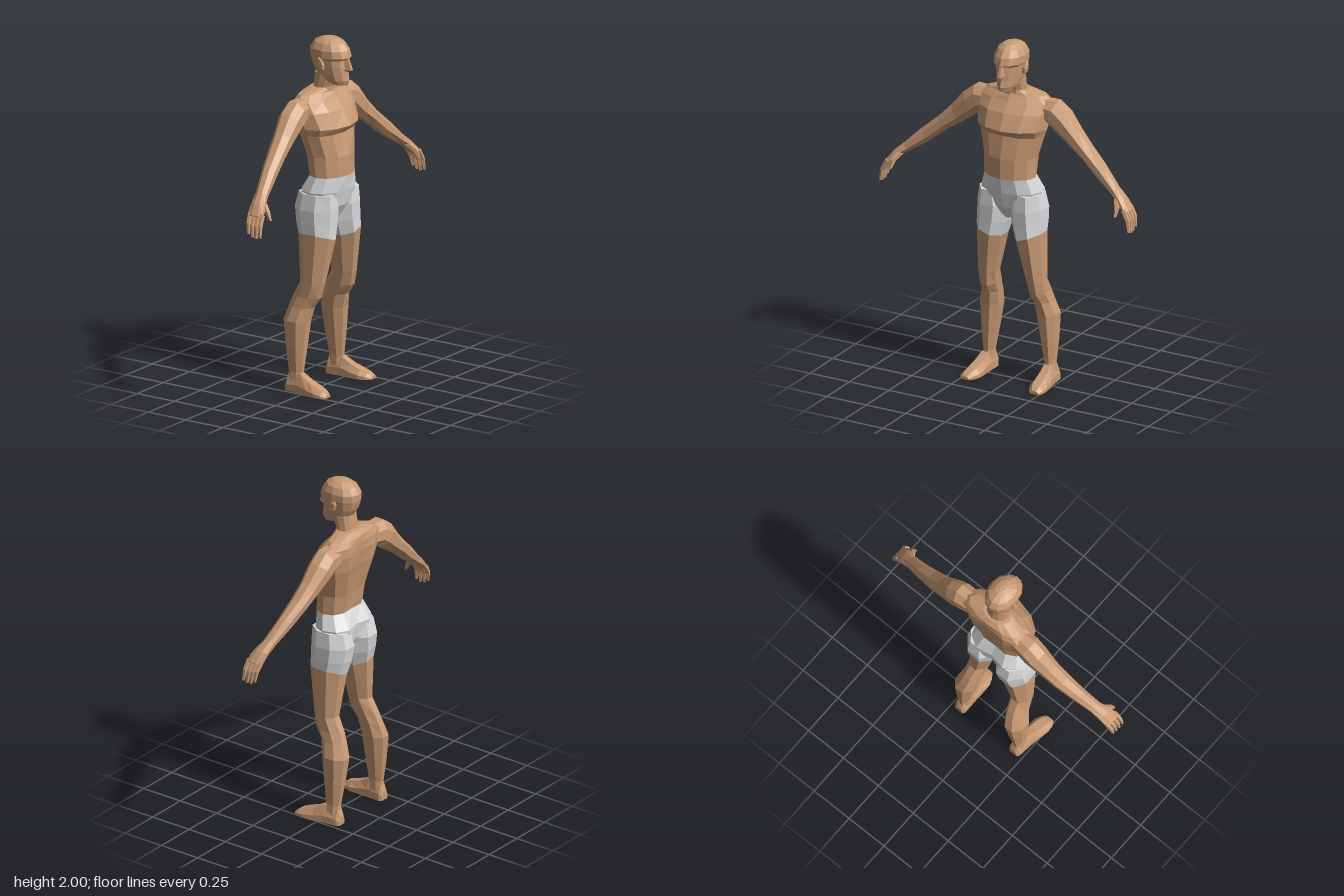
import * as THREE from 'three';

const skin = new THREE.MeshStandardMaterial({ color: 0xc99a74 });
skin.name = 'skin';
const cloth = new THREE.MeshStandardMaterial({ color: 0xdadada });
cloth.name = 'white cloth';

const V = (x, y, z) => new THREE.Vector3(x, y, z);

// Flat-shaded skin through cross-section rings, capped at both ends
function loft(name, rings, material) {
  const tris = [];
  const n = rings[0].length;
  for (let i = 0; i < rings.length - 1; i++) {
    for (let j = 0; j < n; j++) {
      const k = (j + 1) % n;
      const a = rings[i][j], b = rings[i][k], c = rings[i + 1][k], d = rings[i + 1][j];
      tris.push([a, b, c], [a, c, d]);
    }
  }
  const cap = (ring, flip) => {
    const m = ring.reduce((s, p) => s.add(p), V(0, 0, 0)).divideScalar(n);
    ring.forEach((p, j) => {
      const q = ring[(j + 1) % n];
      tris.push(flip ? [m, q, p] : [m, p, q]);
    });
  };
  cap(rings[0], true);
  cap(rings[rings.length - 1], false);
  // Turn the faces outward whichever way the rings run
  const volume = tris.reduce((s, [a, b, c]) => s + a.dot(b.clone().cross(c)), 0);
  const points = tris.flatMap(([a, b, c]) => (volume > 0 ? [a, b, c] : [a, c, b]));
  const geometry = new THREE.BufferGeometry().setFromPoints(points);
  geometry.computeVertexNormals();
  const mesh = new THREE.Mesh(geometry, material);
  mesh.name = name;
  return mesh;
}

// Symmetric body section: height, half width, then depths from front centre to back centre
function bodyRing([y, w, zf, zf2, zs, zb2, zb]) {
  const half = [[0.5, zf2], [0.86, zs + (zf2 - zs) * 0.6], [1, zs], [0.86, zs + (zb2 - zs) * 0.65], [0.5, zb2]];
  return [
    V(0, y, zf), ...half.map(([f, z]) => V(f * w, y, z)),
    V(0, y, zb), ...half.slice().reverse().map(([f, z]) => V(-f * w, y, z)),
  ];
}

// Leg section: height, centre x, half width, front z, back z, tilt
function legRing(s, [y, cx, hw, zf, zb, tilt = 0]) {
  return Array.from({ length: 8 }, (_, i) => {
    const a = (i + 0.5) * Math.PI / 4, k = 1.05;
    const dx = Math.cos(a) * hw * k;
    return V(s * (cx + dx), y + dx * tilt, (zf + zb) / 2 + Math.sin(a) * (zf - zb) / 2 * k);
  });
}

// Limb along a bent path; rows are x, y, z, radius across, radius in z
function limb(name, s, rows, sides) {
  const rings = rows.map(([x, y, z, r, rz], i) => {
    const p = rows[Math.max(i - 1, 0)], q = rows[Math.min(i + 1, rows.length - 1)];
    const t = Math.atan2(q[1] - p[1], q[0] - p[0]);
    return Array.from({ length: sides }, (_, j) => {
      const a = (j + 0.5) * 2 * Math.PI / sides, k = 1 / Math.cos(Math.PI / sides);
      const u = Math.cos(a) * r * k;
      return V(s * (x - Math.sin(t) * u), y + Math.cos(t) * u, z + Math.sin(a) * rz * k);
    });
  });
  return loft(name, rings, skin);
}

const torsoRows = [
  [1.225, 0.155, 0.145, 0.128, 0.03, -0.055, -0.052],
  [1.34, 0.16, 0.145, 0.125, 0.02, -0.075, -0.065],
  [1.47, 0.198, 0.115, 0.105, 0, -0.105, -0.09],
  [1.51, 0.212, 0.155, 0.13, 0, -0.115, -0.1],
  [1.6, 0.225, 0.107, 0.09, -0.03, -0.125, -0.115],
  [1.655, 0.225, 0.062, 0.045, -0.045, -0.122, -0.118],
  [1.69, 0.18, 0.042, 0.015, -0.05, -0.11, -0.115],
  [1.715, 0.085, 0.037, 0.02, -0.035, -0.085, -0.09],
];
const pelvisRows = [
  [0.975, 0.03, 0.075, 0.065, 0, -0.05, -0.04],
  [1.05, 0.16, 0.115, 0.1, 0, -0.1, -0.075],
  [1.14, 0.185, 0.132, 0.12, 0.01, -0.105, -0.085],
  torsoRows[0],
];
const neckRows = [
  [1.66, 0.075, 0.035, 0.03, -0.03, -0.1, -0.11],
  [1.72, 0.066, 0.04, 0.03, -0.02, -0.07, -0.078],
  [1.8, 0.066, 0.07, 0.06, 0, -0.06, -0.068],
];
const headRows = [
  [1.738, 0.038, 0.135, 0.122, 0.085, 0.05, 0.045],
  [1.765, 0.06, 0.146, 0.125, 0.04, -0.005, -0.015],
  [1.8, 0.07, 0.138, 0.118, 0.025, -0.05, -0.06],
  [1.84, 0.077, 0.134, 0.115, 0.02, -0.073, -0.085],
  [1.88, 0.083, 0.126, 0.108, 0.02, -0.083, -0.098],
  [1.895, 0.087, 0.147, 0.132, 0.02, -0.086, -0.102],
  [1.935, 0.087, 0.137, 0.118, 0.02, -0.087, -0.102],
  [1.972, 0.07, 0.11, 0.095, 0.02, -0.065, -0.08],
  [1.993, 0.042, 0.075, 0.065, 0.015, -0.025, -0.037],
  [2, 0.015, 0.035, 0.03, 0.015, 0, -0.005],
];
const legRows = [
  [1.13, 0.107, 0.08, 0.115, -0.1],
  [1.04, 0.102, 0.1, 0.122, -0.123],
  [0.95, 0.11, 0.093, 0.12, -0.11, 0.15],
  [0.878, 0.122, 0.08, 0.12, -0.09, 0.35],
  [0.62, 0.15, 0.055, 0.077, -0.065],
  [0.54, 0.156, 0.051, 0.06, -0.108],
  [0.48, 0.164, 0.053, 0.018, -0.13],
  [0.4, 0.178, 0.062, 0, -0.155],
  [0.25, 0.187, 0.048, -0.015, -0.138],
  [0.11, 0.193, 0.03, -0.03, -0.117],
  [0.05, 0.195, 0.034, -0.025, -0.12],
];
// Foot sections: z, centre x, half width, top height
const footRows = [
  [-0.132, 0.195, 0.025, 0.05], [-0.115, 0.195, 0.036, 0.09], [-0.03, 0.2, 0.04, 0.105],
  [0.03, 0.205, 0.046, 0.072], [0.09, 0.21, 0.051, 0.05], [0.13, 0.216, 0.042, 0.036], [0.155, 0.22, 0.026, 0.018],
];
const armRows = [
  [0.16, 1.61, -0.045, 0.065, 0.06], [0.235, 1.603, -0.048, 0.075, 0.066],
  [0.282, 1.567, -0.048, 0.072, 0.066], [0.365, 1.49, -0.04, 0.056, 0.055],
  [0.452, 1.418, -0.028, 0.043, 0.05], [0.55, 1.335, -0.008, 0.041, 0.042],
  [0.655, 1.25, 0.018, 0.027, 0.036], [0.71, 1.207, 0.034, 0.022, 0.044],
  [0.757, 1.155, 0.046, 0.016, 0.05],
];

export function createModel() {
  const model = new THREE.Group();
  model.name = 'figure';
  const body = (name, rows, mat) => model.add(loft(name, rows.map(bodyRing), mat));
  body('torso', torsoRows, skin);
  body('shortsPelvis', pelvisRows, cloth);
  body('neck', neckRows, skin);
  body('head', headRows, skin);

  // Nose: wedge widening toward the tip
  const noseRing = (y, w, z) => [V(-w, y, 0.11), V(-w * 0.5, y, z), V(w * 0.5, y, z), V(w, y, 0.11)];
  model.add(loft('nose', [noseRing(1.815, 0.014, 0.142), noseRing(1.828, 0.02, 0.164),
    noseRing(1.89, 0.012, 0.142)], skin));

  for (const s of [1, -1]) {
    const side = s > 0 ? 'left' : 'right';

    // Leg, split at the hem of the shorts
    const legRings = legRows.map((r) => legRing(s, r));
    model.add(loft(side + 'ShortsLeg', legRings.slice(0, 4), cloth));
    model.add(loft(side + 'Leg', legRings.slice(3), skin));
    model.add(loft(side + 'Foot', footRows.map(([z, cx, hw, h]) =>
      [[-1, 0], [-1, 0.45], [-0.55, 1], [0.45, 1], [1, 0.4], [1, 0]].map(([f, g]) =>
        V(s * (cx + f * hw), g * h, z))), skin));

    // Arm, palm, fingers and thumb
    model.add(limb(side + 'Arm', s, armRows, 8));
    for (let i = 0; i < 4; i++) {
      const z = 0.008 + i * 0.026, drop = [0.02, 0.004, 0, 0.008][i];
      model.add(limb(side + 'Finger', s, [
        [0.745, 1.17, z, 0.013, 0.012],
        [0.776, 1.11 + drop / 2, z + 0.006, 0.011, 0.011],
        [0.786, 1.042 + drop, z + 0.012, 0.006, 0.007],
      ], 5));
    }
    model.add(limb(side + 'Thumb', s, [
      [0.685, 1.22, 0.05, 0.016, 0.02],
      [0.708, 1.18, 0.09, 0.013, 0.016],
      [0.712, 1.135, 0.115, 0.006, 0.008],
    ], 5));

    // Ear: flat lobed slab leaning back
    const earRing = (x, k) => Array.from({ length: 7 }, (_, i) => {
      const a = i * 2 * Math.PI / 7, u = Math.sin(a);
      return V(s * x, 1.86 + u * 0.04 * k, 0.014 + Math.cos(a) * 0.021 * k - u * 0.008);
    });
    model.add(loft(side + 'Ear', [earRing(0.07, 0.85), earRing(0.09, 1), earRing(0.096, 0.75)], skin));
  }
  return model;
}
